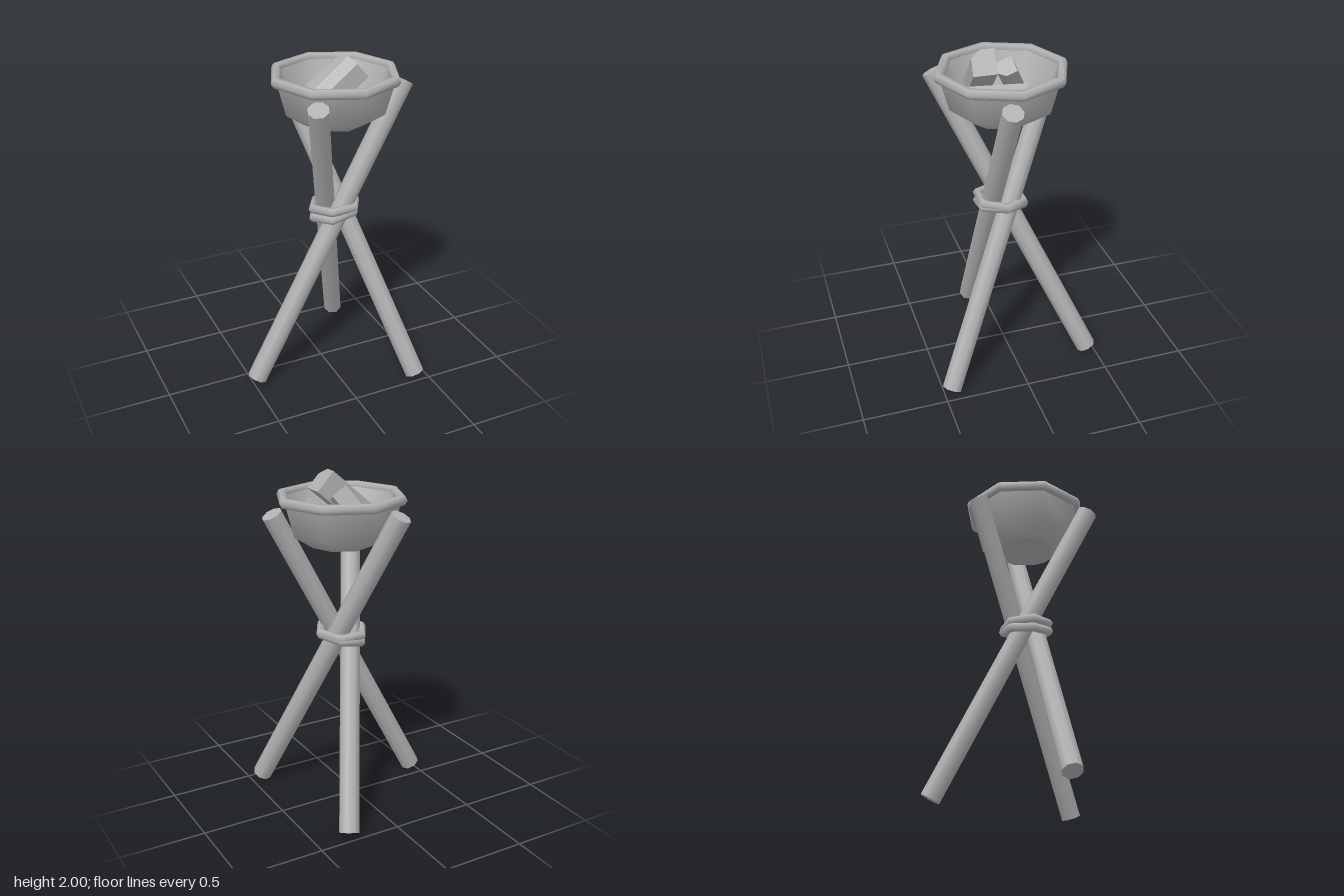
import * as THREE from 'three';

const V = (x, y, z) => new THREE.Vector3(x, y, z);

export function createModel() {
  const model = new THREE.Group();
  const grey = new THREE.MeshStandardMaterial({ color: 0xb0b0b0 });
  grey.name = 'stone grey';

  const add = (name, geometry, parent = model) => {
    const mesh = new THREE.Mesh(geometry, grey);
    mesh.name = name;
    parent.add(mesh);
    return mesh;
  };

  // Three crossed poles, each from its foot to its top
  const pole = (name, foot, top) => {
    const dir = top.clone().sub(foot);
    const mesh = add(name, new THREE.CylinderGeometry(0.06, 0.06, dir.length(), 8));
    mesh.position.copy(foot).add(top).multiplyScalar(0.5);
    mesh.quaternion.setFromUnitVectors(V(0, 1, 0), dir.normalize());
  };
  pole('frontPole', V(-0.473, 0.032, 0.095), V(0.468, 1.795, 0.095));
  pole('backFootPole', V(0.297, 0.03, -0.452), V(-0.18, 1.8, 0.355));
  pole('frontFootPole', V(0.424, 0.03, 0.452), V(-0.1, 1.8, -0.33));

  // Two tilted rope loops binding the crossing
  const rope = (name, y, tiltX, tiltZ) => {
    const geo = new THREE.TorusGeometry(0.138, 0.027, 6, 6).rotateX(Math.PI / 2);
    const mesh = add(name, geo);
    mesh.position.set(0.068, y, 0.038);
    mesh.rotation.set(tiltX, 0, tiltZ);
  };
  rope('upperRope', 1.072, -0.1, 0.02);
  rope('lowerRope', 1.04, -0.06, 0.2);

  // Eight-sided bowl: outer wall, base, inner wall, floor and rim
  const bowl = new THREE.Group();
  bowl.name = 'bowl';
  bowl.position.set(0.07, 0, 0.03);
  model.add(bowl);
  const lathe = (name, points) =>
    add(name, new THREE.LatheGeometry(points.map(([r, y]) => new THREE.Vector2(r, y)), 8), bowl);
  lathe('bowlOuterWall', [[0.18, 1.59], [0.295, 1.665], [0.345, 1.85]]);
  lathe('bowlBase', [[0, 1.59], [0.18, 1.59]]);
  lathe('bowlInnerWall', [[0.322, 1.86], [0.237, 1.66]]);
  lathe('bowlFloor', [[0.237, 1.66], [0, 1.66]]);
  const rim = add('bowlRim', new THREE.TorusGeometry(0.35, 0.03, 6, 8).rotateX(Math.PI / 2), bowl);
  rim.position.y = 1.86;

  // Coals: prisms with one cut corner, given a corner, two cross-section edges and a length
  const coal = (name, corner, e1, e2, length, section) => {
    let a = e1, b = e2, pts = section;
    if (e1.clone().cross(e2).dot(length) < 0) {
      [a, b] = [e2, e1];
      pts = section.map(([u, v]) => [v, u]);
    }
    const shape = new THREE.Shape(pts.map(([u, v]) => new THREE.Vector2(u, v)));
    const geo = new THREE.ExtrudeGeometry(shape, { depth: 1, bevelEnabled: false });
    geo.applyMatrix4(new THREE.Matrix4().makeBasis(a, b, length).setPosition(corner));
    geo.computeVertexNormals();
    add(name, geo);
  };
  const cutFar = [[0, 0], [1, 0], [1, 0.62], [0.62, 1], [0, 1]];
  const cutSide = [[0, 0], [1, 0], [1, 1], [0.3, 1], [0, 0.6]];
  coal('backCoal', V(0.07, 1.935, -0.025), V(0.085, -0.0535, -0.008),
    V(-0.017, -0.041, 0.095), V(-0.137, -0.2, -0.11), cutFar);
  coal('frontCoal', V(0.09, 2, 0.075), V(0.095, -0.11, 0.012),
    V(-0.005, 0, 0.132), V(-0.247, -0.216, -0.025), cutSide);
  coal('sideCoal', V(0.208, 1.83, -0.073), V(0.055, -0.1, 0.01),
    V(-0.08, -0.045, -0.014), V(-0.053, 0, 0.335), cutFar);

  return model;
}
